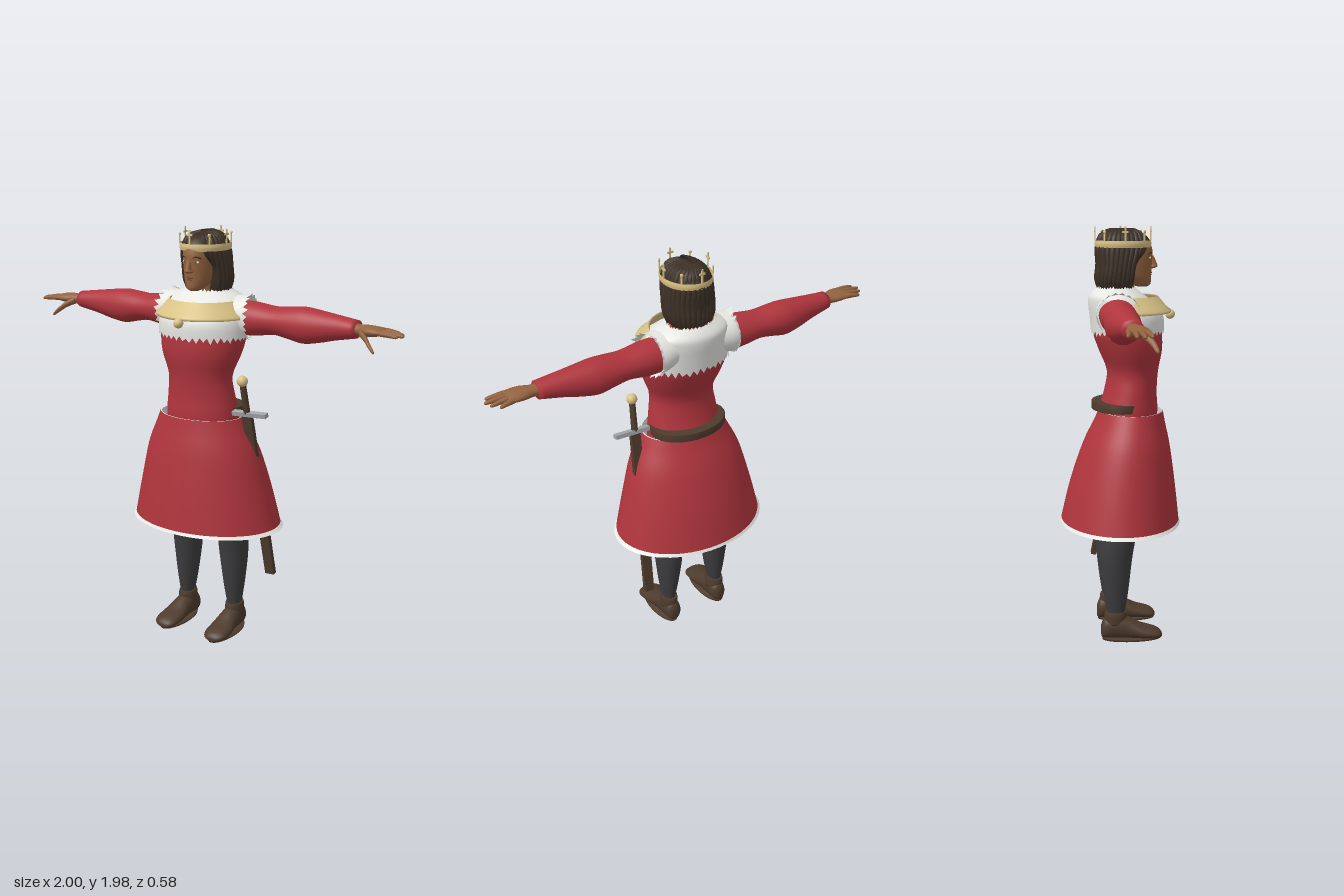
import * as THREE from 'three';

const mat = (name, color, side = THREE.FrontSide) => {
  const m = new THREE.MeshStandardMaterial({ color, side });
  m.name = name;
  return m;
};

// small seeded noise, 0..1
function noise(seed) {
  return () => ((seed = (seed * 16807) % 2147483647) / 2147483647);
}

// Elliptical cross-sections [t, cu, cv, ru, rv] joined along an axis (t increasing),
// smoothed by a spline. opts: n sides, steps per span, caps, inside (flip), warp(point, v, angle)
function loft(rows, axis = 'y', { n = 32, steps = 4, caps = true, inside = false, warp } = {}) {
  const splines = [0, 1, 2, 3, 4].map(k => new THREE.SplineCurve(rows.map((r, i) => new THREE.Vector2(i, r[k]))));
  const count = (rows.length - 1) * steps, pos = [], idx = [], p = new THREE.Vector3();
  const place = (t, u, v) => axis === 'y' ? p.set(u, t, v) : axis === 'x' ? p.set(t, u, v) : p.set(u, v, t);
  const flip = (axis === 'y') !== inside;
  const tri = (a, b, c) => (flip ? idx.push(a, c, b) : idx.push(a, b, c));
  for (let j = 0; j <= count; j++) {
    const [t, cu, cv, ru, rv] = splines.map(s => s.getPoint(j / count).y);
    for (let i = 0; i < n; i++) {
      const a = (i / n) * Math.PI * 2;
      place(t, cu + ru * Math.cos(a), cv + rv * Math.sin(a));
      if (warp) warp(p, j / count, a, i);
      pos.push(p.x, p.y, p.z);
      if (j < count) {
        const k = j * n + i, l = j * n + ((i + 1) % n);
        tri(k, l, l + n);
        tri(k, l + n, k + n);
      }
    }
  }
  if (caps) for (const j of [0, count]) {
    const r = rows[j ? rows.length - 1 : 0], c = pos.length / 3;
    place(r[0], r[1], r[2]);
    pos.push(p.x, p.y, p.z);
    for (let i = 0; i < n; i++) {
      const k = j * n + i, l = j * n + ((i + 1) % n);
      j ? tri(k, l, c) : tri(l, k, c);
    }
  }
  const g = new THREE.BufferGeometry();
  g.setAttribute('position', new THREE.Float32BufferAttribute(pos, 3));
  g.setIndex(idx);
  g.computeVertexNormals();
  return g;
}

// mirrored copy across x = 0
function mirrored(geo) {
  const g = geo.clone().scale(-1, 1, 1), a = g.index.array;
  for (let i = 0; i < a.length; i += 3) [a[i], a[i + 1]] = [a[i + 1], a[i]];
  g.computeVertexNormals();
  return g;
}

const tube = (pts, r, seg = 10) =>
  new THREE.TubeGeometry(new THREE.CatmullRomCurve3(pts.map(q => new THREE.Vector3(...q))), seg, r, 8);

export function createModel() {
  const root = new THREE.Group();
  root.name = 'royalFigure';
  const red = mat('red cloth', 0xb0353d), white = mat('white fur', 0xe6e6e2, THREE.DoubleSide);
  const gold = mat('gold', 0xd9c285, THREE.DoubleSide), skin = mat('skin', 0x94633f);
  const hair = mat('dark hair', 0x3b2f25, THREE.DoubleSide), leather = mat('brown leather', 0x4e3c2d);
  const hose = mat('charcoal hose', 0x3d3d3f), steel = mat('steel', 0xa3a6a9), lip = mat('lips', 0x6f3f30);

  const add = (name, geo, m, parent = root) => {
    const mesh = new THREE.Mesh(geo, m);
    mesh.name = name;
    parent.add(mesh);
    return mesh;
  };
  const pair = (name, geo, m) => {
    add(name + 'Left', geo, m);
    add(name + 'Right', mirrored(geo), m);
  };
  const ball = (name, r, x, y, z, m, sx = 1, sy = 1, sz = 1, parent = root) => {
    const b = add(name, new THREE.SphereGeometry(r, 20, 14).scale(sx, sy, sz), m, parent);
    b.position.set(x, y, z);
    return b;
  };

  // tunic body
  add('tunicBody', loft([
    [0.84, 0, 0.01, 0.16, 0.1], [0.98, 0, 0.035, 0.185, 0.13], [1.11, 0, 0.04, 0.184, 0.14],
    [1.2, 0, 0.05, 0.172, 0.126], [1.3, 0, 0.06, 0.162, 0.122], [1.4, 0, 0.05, 0.198, 0.15],
    [1.48, 0, 0.036, 0.214, 0.163], [1.56, 0, 0.03, 0.21, 0.16], [1.64, 0, -0.02, 0.16, 0.1]]), red);

  // skirt, white lining and flared hem
  const skirtRows = [
    [0.58, 0, 0, 0.38, 0.285], [0.76, 0, 0.012, 0.338, 0.253], [0.94, 0, 0.03, 0.29, 0.21],
    [1.05, 0, 0.045, 0.24, 0.172], [1.11, 0, 0.053, 0.212, 0.153]];
  const open = { caps: false, n: 48 };
  add('skirt', loft(skirtRows, 'y', open), red);
  add('skirtLining', loft(skirtRows.map(([y, x, z, a, b]) => [y, x, z, a - 0.006, b - 0.006]), 'y',
    { ...open, inside: true }), white);
  add('skirtHem', loft([[0.565, 0, 0, 0.395, 0.29], [0.582, 0, 0, 0.374, 0.28]], 'y', open), white);

  // belt
  add('belt', loft([[1.118, 0, 0, 0.187, 0.132], [1.12, 0, 0, 0.193, 0.136],
    [1.155, 0, 0, 0.193, 0.136], [1.157, 0, 0, 0.187, 0.132]], 'y', { steps: 1 }), leather);

  // ragged fur mantle over chest, back and shoulders
  const rnd = noise(77);
  add('furMantle', loft([
    [1.485, 0, 0.036, 0.223, 0.172], [1.56, 0, 0.031, 0.222, 0.174], [1.62, 0, 0.008, 0.204, 0.157],
    [1.66, 0, -0.015, 0.182, 0.128], [1.695, 0, -0.02, 0.115, 0.088]], 'y', {
    caps: false, n: 80, warp: (p, v, a, i) => {
      if (v === 0) p.y += (i % 2 ? 0.012 : -0.012) * (0.4 + rnd());
      if (v === 1) p.y += (i % 2 ? 0.012 : -0.008) * rnd();
    } }), white);
  pair('shoulderFur', loft([
    [0.12, 1.59, -0.02, 0.085, 0.1], [0.17, 1.583, -0.022, 0.092, 0.105], [0.215, 1.578, -0.025, 0.096, 0.1]], 'x', {
    caps: false, n: 40, warp: (p, v, a, i) => {
      if (v < 1) return;
      p.x += 0.03 * Math.sin(a) + (i % 2 ? 0.014 : -0.008) * (0.4 + rnd());
      p.y += (i % 2 ? 0.012 : 0) * Math.cos(a);
    } }), white);

  // sleeves
  pair('sleeve', loft([
    [0.13, 1.575, -0.025, 0.075, 0.085], [0.24, 1.572, -0.027, 0.079, 0.085], [0.35, 1.573, -0.03, 0.065, 0.078],
    [0.43, 1.57, -0.032, 0.074, 0.08], [0.5, 1.566, -0.033, 0.083, 0.08], [0.58, 1.568, -0.03, 0.073, 0.07],
    [0.66, 1.573, -0.025, 0.058, 0.058], [0.77, 1.577, -0.018, 0.04, 0.047]], 'x'), red);

  // hands
  pair('palm', loft([
    [0.74, 1.577, -0.016, 0.028, 0.032], [0.79, 1.577, -0.013, 0.025, 0.032], [0.83, 1.578, -0.008, 0.025, 0.047],
    [0.88, 1.579, -0.008, 0.019, 0.052], [0.905, 1.578, -0.008, 0.01, 0.045]], 'x', { n: 20 }), skin);
  [[-0.052, 0.955], [-0.023, 0.985], [0.006, 0.998], [0.034, 0.982]].forEach(([z, tip], i) => {
    const base = -0.008 + (z + 0.008) * 0.8;
    pair('finger' + (i + 1), loft([0, 0.3, 0.6, 0.92, 1].map((f, k) => {
      const r = [0.013, 0.013, 0.011, 0.008, 0.002][k];
      return [0.875 + (tip - 0.875) * f, 1.579 - 0.008 * f * f, base + (z * 1.1 - base) * f, r, r];
    }), 'x', { n: 10, steps: 2 }), skin);
  });
  pair('thumb', loft([
    [0.79, 1.573, 0.005, 0.018, 0.017], [0.83, 1.552, 0.034, 0.016, 0.015], [0.86, 1.526, 0.056, 0.013, 0.012],
    [0.885, 1.503, 0.068, 0.008, 0.008], [0.89, 1.499, 0.07, 0.002, 0.002]], 'x', { n: 12 }), skin);

  // legs
  pair('leg', loft([
    [0.08, 0.14, -0.035, 0.036, 0.045], [0.14, 0.14, -0.032, 0.035, 0.045], [0.25, 0.138, -0.032, 0.051, 0.061],
    [0.42, 0.135, -0.03, 0.07, 0.079], [0.55, 0.135, -0.012, 0.072, 0.084], [0.7, 0.12, 0.005, 0.084, 0.095],
    [0.92, 0.1, 0.015, 0.092, 0.1]]), hose);

  // shoes with ankle cuff and sole
  pair('shoe', loft([
    [-0.103, 0.138, 0.045, 0.018, 0.03], [-0.085, 0.138, 0.058, 0.038, 0.053], [-0.03, 0.14, 0.066, 0.045, 0.062],
    [0.03, 0.141, 0.056, 0.05, 0.053], [0.09, 0.144, 0.04, 0.06, 0.037], [0.15, 0.146, 0.03, 0.06, 0.027],
    [0.18, 0.145, 0.023, 0.045, 0.019], [0.192, 0.144, 0.018, 0.02, 0.008]], 'z',
    { warp: p => { p.y = Math.max(p.y, 0.008); } }), leather);
  pair('shoeCuff', loft([[0.08, 0.14, -0.034, 0.044, 0.055], [0.12, 0.14, -0.034, 0.044, 0.055],
    [0.14, 0.14, -0.034, 0.041, 0.051]], 'y', { n: 20 }), leather);
  pair('sole', loft([[0, 0.142, 0.045, 0.056, 0.142], [0.012, 0.142, 0.045, 0.059, 0.145]], 'y', { steps: 1 }), leather);

  // neck and head
  add('neck', loft([[1.6, 0, -0.01, 0.068, 0.065], [1.68, 0, 0.01, 0.052, 0.055], [1.76, 0, 0.02, 0.05, 0.055]]), skin);
  add('head', loft([
    [1.698, 0, 0.105, 0.018, 0.025], [1.71, 0, 0.095, 0.038, 0.05], [1.74, 0, 0.07, 0.058, 0.078],
    [1.78, 0, 0.05, 0.07, 0.1], [1.82, 0, 0.042, 0.076, 0.111], [1.87, 0, 0.038, 0.079, 0.115],
    [1.92, 0, 0.03, 0.07, 0.1], [1.945, 0, 0.025, 0.03, 0.05]]), skin);
  add('nose', loft([
    [1.782, 0, 0.15, 0.014, 0.012], [1.79, 0, 0.154, 0.019, 0.024], [1.802, 0, 0.154, 0.013, 0.022],
    [1.84, 0, 0.148, 0.009, 0.012]], 'y', { n: 16 }), skin);
  ball('upperLip', 0.02, 0, 1.762, 0.142, lip, 1.05, 0.24, 0.5);
  ball('lowerLip', 0.02, 0, 1.753, 0.14, lip, 0.9, 0.3, 0.5);
  for (const s of [1, -1]) {
    ball('eyeWhite', 0.012, s * 0.031, 1.832, 0.138, white, 1.1, 0.5, 0.45);
    ball('iris', 0.005, s * 0.031, 1.832, 0.142, hair, 1, 1, 0.5);
    add('eyebrow', tube([[s * 0.014, 1.848, 0.149], [s * 0.032, 1.856, 0.144], [s * 0.052, 1.848, 0.128]], 0.003), hair);
    ball('ear', 0.022, s * 0.08, 1.81, 0.03, skin, 0.4, 1.2, 0.7);
  }

  // hair: crown cap, back shell and hanging locks from a middle parting
  add('hairCap', loft([
    [1.885, 0, 0.015, 0.096, 0.132], [1.91, 0, 0.015, 0.094, 0.128], [1.94, 0, 0.015, 0.07, 0.098],
    [1.957, 0, 0.01, 0.03, 0.045]]), hair);
  const shell = new THREE.LatheGeometry([[0.085, 1.69], [0.107, 1.73], [0.106, 1.82], [0.098, 1.9]]
    .map(q => new THREE.Vector2(...q)), 32, 1.3, Math.PI * 2 - 2.6);
  add('hairShell', shell, hair).position.z = -0.008;
  const locks = 26, wiggle = noise(9);
  for (let i = 0; i < locks; i++) {
    const a = 0.62 + (i / (locks - 1)) * (Math.PI * 2 - 1.24);
    const s = Math.sin(a), c = Math.cos(a), w = wiggle() * 0.012;
    const back = Math.min(c, 0.55);
    add('hairLock', tube([
      [s * 0.012, 1.955, 0.015 + c * 0.055], [s * 0.068, 1.936, 0.015 + c * 0.098],
      [s * 0.098, 1.88, 0.012 + c * 0.115], [s * 0.107 + Math.sign(s) * 0.002, 1.8, back * 0.1],
      [s * 0.108, 1.735, -0.008 + back * 0.098], [s * 0.092, 1.692 + w, -0.01 + back * 0.085]], 0.0145, 16), hair);
  }

  // crown: band, tall crosses and short points
  const crown = new THREE.Group();
  crown.name = 'crown';
  crown.position.set(0, 1.88, 0.015);
  root.add(crown);
  add('crownBand', loft([[0, 0, 0, 0.113, 0.13], [0.016, 0, 0, 0.116, 0.133], [0.032, 0, 0, 0.114, 0.131]], 'y',
    { caps: false, n: 40 }), gold, crown);
  for (let i = 0; i < 8; i++) {
    const a = (i / 8) * Math.PI * 2, tall = i % 2 === 0;
    const point = new THREE.Group();
    point.name = tall ? 'crownCross' : 'crownPoint';
    point.position.set(Math.sin(a) * 0.114, 0.03, Math.cos(a) * 0.131);
    point.rotation.y = a;
    crown.add(point);
    const h = tall ? 0.066 : 0.042;
    add('stem', new THREE.BoxGeometry(0.008, h, 0.005).translate(0, h / 2, 0), gold, point);
    if (tall) add('crossbar', new THREE.BoxGeometry(0.03, 0.009, 0.005).translate(0, 0.043, 0), gold, point);
    else ball('tip', 0.008, 0, h, 0, gold, 1, 1, 0.6, point);
  }

  // gold collar with pendant
  const collar = [[0.174, 1.655], [0.168, 1.65], [0.222, 1.576], [0.236, 1.578], [0.237, 1.59], [0.215, 1.607], [0.174, 1.655]];
  add('collar', new THREE.LatheGeometry(collar.map(q => new THREE.Vector2(...q)), 40, -1.36, 2.72), gold).position.z = 0.005;
  ball('pendant', 0.023, 0, 1.566, 0.24, gold);

  // sheathed sword hung at the left hip, built downwards from the pommel
  const sword = new THREE.Group();
  sword.name = 'sword';
  sword.position.set(0.25, 1.3, 0.09);
  sword.quaternion.setFromUnitVectors(new THREE.Vector3(0, -1, 0), new THREE.Vector3(0.05, -1, -0.2).normalize());
  root.add(sword);
  ball('pommel', 0.026, 0, 0, 0, gold, 1, 1, 1, sword);
  add('grip', new THREE.CylinderGeometry(0.015, 0.016, 0.14, 14).translate(0, -0.09, 0), leather, sword);
  add('crossguard', new THREE.BoxGeometry(0.18, 0.02, 0.03).translate(0.015, -0.163, 0), steel, sword);
  add('scabbard', new THREE.BoxGeometry(0.048, 0.85, 0.024).translate(0, -0.597, 0), leather, sword);
  return root;
}
